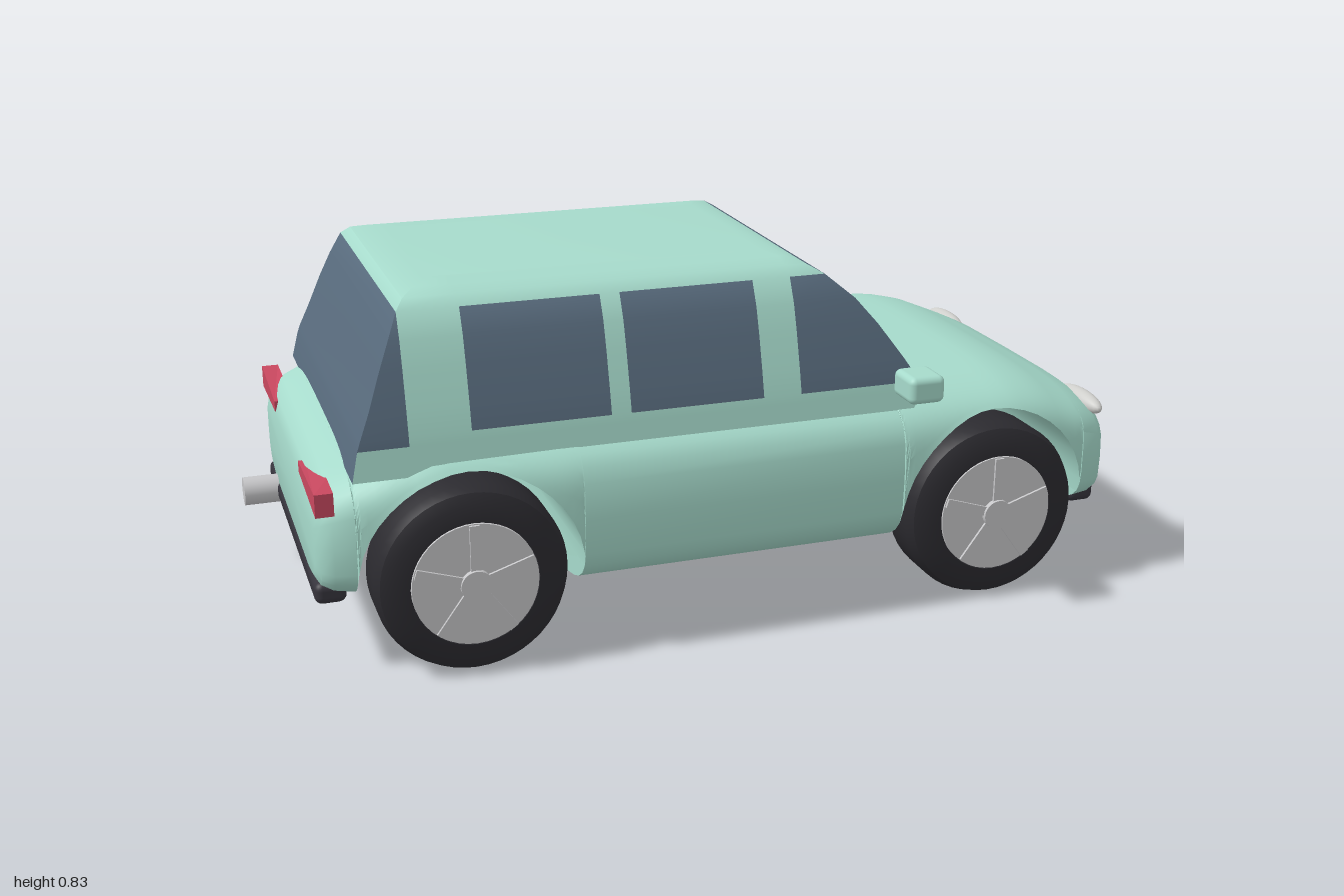
import * as THREE from 'three';
import { toCreasedNormals } from 'three/addons/utils/BufferGeometryUtils.js';
import { RoundedBoxGeometry } from 'three/addons/geometries/RoundedBoxGeometry.js';

const mat = (name, color) => new THREE.MeshStandardMaterial({ name, color });
const paint = mat('mint paint', 0xa6dacb);
const glass = mat('blue grey glass', 0x586b7d);
const rubber = mat('tyre rubber', 0x2b2a2f);
const trim = mat('dark trim', 0x36343c);
const silver = mat('silver', 0xc6c6c8);
const lamp = mat('headlight', 0xcfcfcc);
const red = mat('tail light red', 0xc8485f);

const WHEELS_X = [-0.59, 0.66], ARCH_R = 0.245, ARCH_Y = 0.22;

function mesh(name, geo, material, x = 0, y = 0, z = 0) {
  const m = new THREE.Mesh(geo, material);
  m.name = name;
  m.position.set(x, y, z);
  return m;
}

function geometryFrom(points) {
  const g = new THREE.BufferGeometry();
  g.setAttribute('position', new THREE.Float32BufferAttribute(points, 3));
  return g;
}

const quad = (out, a, b, c, d) => out.push(...a, ...b, ...c, ...a, ...c, ...d);

// Lower body sections: x, top, bottom, half width
const BODY = [
  [-0.915, 0.40, 0.20, 0.40], [-0.905, 0.435, 0.175, 0.435], [-0.88, 0.457, 0.165, 0.458],
  [-0.83, 0.478, 0.16, 0.477], [-0.75, 0.51, 0.15, 0.495], [-0.66, 0.53, 0.14, 0.51],
  [-0.4, 0.53, 0.135, 0.517], [0.45, 0.53, 0.135, 0.517], [0.72, 0.528, 0.14, 0.505],
  [0.8, 0.51, 0.15, 0.495], [0.9, 0.468, 0.16, 0.48], [0.95, 0.445, 0.165, 0.467],
  [0.97, 0.43, 0.17, 0.452], [0.98, 0.40, 0.19, 0.42],
];

function bodyAt(x) {
  let i = 0;
  while (i < BODY.length - 2 && x > BODY[i + 1][0]) i++;
  const t = (x - BODY[i][0]) / (BODY[i + 1][0] - BODY[i][0]);
  return BODY[i].map((v, k) => THREE.MathUtils.lerp(v, BODY[i + 1][k], t));
}

// Superellipse section, cut off flat below the wheel arch
function bodyRing(x, cut) {
  const [, top, bottom, w] = bodyAt(x);
  const n = 4, c = (top + bottom) / 2, h = (top - bottom) / 2, steps = 36;
  const pow = (v, e) => Math.sign(v) * Math.abs(v) ** e;
  const s = Math.max(-1, Math.min(0.98, (cut - c) / h));
  const t0 = Math.asin(pow(s, n / 2));
  return Array.from({ length: steps + 1 }, (_, j) => {
    const t = t0 + (Math.PI - 2 * t0) * j / steps;
    return [x, c + h * pow(Math.sin(t), 2 / n), w * pow(Math.cos(t), 2 / n)];
  });
}

function bodyGeometry() {
  const stations = BODY.map(r => [r[0], 0])
    .filter(([x]) => WHEELS_X.every(c => Math.abs(x - c) > ARCH_R));
  for (const c of WHEELS_X) {
    stations.push([c - ARCH_R, 0]);
    for (let i = 0; i <= 20; i++) {
      const a = Math.PI * i / 20;
      stations.push([c - ARCH_R * Math.cos(a), ARCH_Y + ARCH_R * Math.sin(a)]);
    }
    stations.push([c + ARCH_R, 0]);
  }
  stations.sort((a, b) => a[0] - b[0]);
  const rings = stations.map(([x, cut]) => bodyRing(x, cut));
  const out = [], n = rings[0].length;
  for (let i = 0; i < rings.length - 1; i++)
    for (let j = 0; j < n; j++) {
      const k = (j + 1) % n;
      quad(out, rings[i][j], rings[i + 1][j], rings[i + 1][k], rings[i][k]);
    }
  // End caps
  const first = rings[0], last = rings[rings.length - 1];
  for (let j = 0; j < n; j++) {
    const k = (j + 1) % n;
    out.push(first[0][0], 0.3, 0, ...first[j], ...first[k]);
    out.push(last[0][0], 0.3, 0, ...last[k], ...last[j]);
  }
  return toCreasedNormals(geometryFrom(out), 0.7);
}

// Cabin levels: y, rear x, front x, half width
const CABIN = [
  [0.46, -0.835, 0.44, 0.468], [0.525, -0.82, 0.485, 0.458], [0.545, -0.813, 0.473, 0.455],
  [0.6, -0.79, 0.437, 0.441], [0.68, -0.76, 0.38, 0.418], [0.74, -0.735, 0.33, 0.398],
  [0.795, -0.71, 0.265, 0.37], [0.815, -0.69, 0.23, 0.34], [0.826, -0.66, 0.195, 0.30],
  [0.83, -0.62, 0.16, 0.24],
];
const PILLARS = [-2, -0.71, -0.575, -0.265, -0.22, 0.09, 0.18, 2];

function cabinMesh() {
  const solid = [], clear = [];
  for (let i = 0; i < CABIN.length - 1; i++) {
    const [y0, r0, f0, w0] = CABIN[i], [y1, r1, f1, w1] = CABIN[i + 1];
    // Sides: every other column is a window
    for (let j = 0; j < PILLARS.length - 1; j++) {
      const [a, b] = [PILLARS[j], PILLARS[j + 1]];
      const at = (x, r, f) => Math.min(Math.max(x, r), f);
      const low = j === 0 ? 0.52 : 0.54;
      const out = j % 2 === 0 && y0 > low && y1 < 0.8 ? clear : solid;
      const p = s => [[at(a, r0, f0), y0, s * w0], [at(b, r0, f0), y0, s * w0],
        [at(b, r1, f1), y1, s * w1], [at(a, r1, f1), y1, s * w1]];
      quad(out, ...p(1));
      quad(out, ...p(-1).reverse());
    }
    // Windscreen and rear window
    quad(y0 > 0.52 && y1 < 0.82 ? clear : solid,
      [f0, y0, w0], [f0, y0, -w0], [f1, y1, -w1], [f1, y1, w1]);
    quad(y1 < 0.8 ? clear : solid,
      [r0, y0, -w0], [r0, y0, w0], [r1, y1, w1], [r1, y1, -w1]);
  }
  const [y, r, f, w] = CABIN[CABIN.length - 1];
  quad(solid, [r, y, w], [f, y, w], [f, y, -w], [r, y, -w]);
  const g = toCreasedNormals(geometryFrom([...solid, ...clear]), 0.7);
  g.addGroup(0, solid.length / 3, 0);
  g.addGroup(solid.length / 3, clear.length / 3, 1);
  return mesh('cabin', g, [paint, glass]);
}

// Wheel facing +z, its axle at the origin
function wheel() {
  const g = new THREE.Group();
  g.name = 'wheel';
  const profile = [[0, 0.343], [0.18, 0.343], [0.203, 0.355], [0.215, 0.38], [0.215, 0.47],
    [0.205, 0.495], [0.18, 0.509], [0.142, 0.511], [0.14, 0.5], [0, 0.5]];
  const tyre = new THREE.LatheGeometry(profile.map(p => new THREE.Vector2(...p)), 48);
  g.add(mesh('tyre', toCreasedNormals(tyre.rotateX(Math.PI / 2), 0.6), rubber));
  const disc = (name, r, z, depth) => g.add(mesh(name,
    new THREE.CylinderGeometry(r, r, depth, 40).rotateX(Math.PI / 2), silver, 0, 0, z));
  disc('rim', 0.14, 0.506, 0.012);
  disc('hub', 0.035, 0.515, 0.02);
  for (let i = 0; i < 5; i++) {
    const spoke = new THREE.BoxGeometry(0.022, 0.115, 0.008).translate(0, 0.08, 0.514);
    g.add(mesh('spoke', spoke.rotateZ(i * Math.PI * 2 / 5), silver));
  }
  return g;
}

// Tail light: wedge that thins towards the middle of the car
function tailLight(side) {
  const s = new THREE.Shape([[-0.915, 0.21], [-0.9, 0.21], [-0.875, 0.37], [-0.875, 0.46], [-0.915, 0.46]]
    .map(([x, z]) => new THREE.Vector2(x, -z * side)));
  const g = new THREE.ExtrudeGeometry(s, { depth: 0.052, bevelEnabled: false });
  g.rotateX(-Math.PI / 2);
  const p = g.attributes.position;
  for (let i = 0; i < p.count; i++)
    if (Math.abs(p.getZ(i)) < 0.3) p.setY(i, 0.026 + (p.getY(i) - 0.026) * 0.5);
  g.computeVertexNormals();
  return mesh('tailLight', g, red, 0, 0.39, 0);
}

export function createModel() {
  const car = new THREE.Group();
  car.name = 'car';
  car.add(mesh('lowerBody', bodyGeometry(), paint), cabinMesh());

  for (const side of [1, -1]) {
    for (const x of WHEELS_X) {
      const w = wheel();
      w.position.set(x, 0.215, 0);
      if (side < 0) w.rotation.y = Math.PI;
      car.add(w);
    }
    car.add(mesh('mirror', new RoundedBoxGeometry(0.085, 0.062, 0.095, 3, 0.015), paint, 0.415, 0.576, side * 0.566));
    const light = mesh('headlight', new THREE.SphereGeometry(1, 28, 16), lamp, 0.962, 0.417, side * 0.357);
    light.scale.set(0.026, 0.026, 0.091);
    car.add(light, tailLight(side));
  }

  // Bumpers, grille and exhaust
  car.add(mesh('frontBumper', new RoundedBoxGeometry(0.07, 0.056, 0.81, 3, 0.018), trim, 0.957, 0.191, 0));
  car.add(mesh('rearBumper', new RoundedBoxGeometry(0.07, 0.05, 0.81, 3, 0.018), trim, -0.885, 0.187, 0));
  car.add(mesh('grille', new THREE.BoxGeometry(0.03, 0.136, 0.436), trim, 0.982, 0.266, 0));
  car.add(mesh('exhaust', new THREE.CylinderGeometry(0.035, 0.035, 0.13, 24).rotateZ(Math.PI / 2), silver, -0.935, 0.185, -0.265));
  return car;
}
